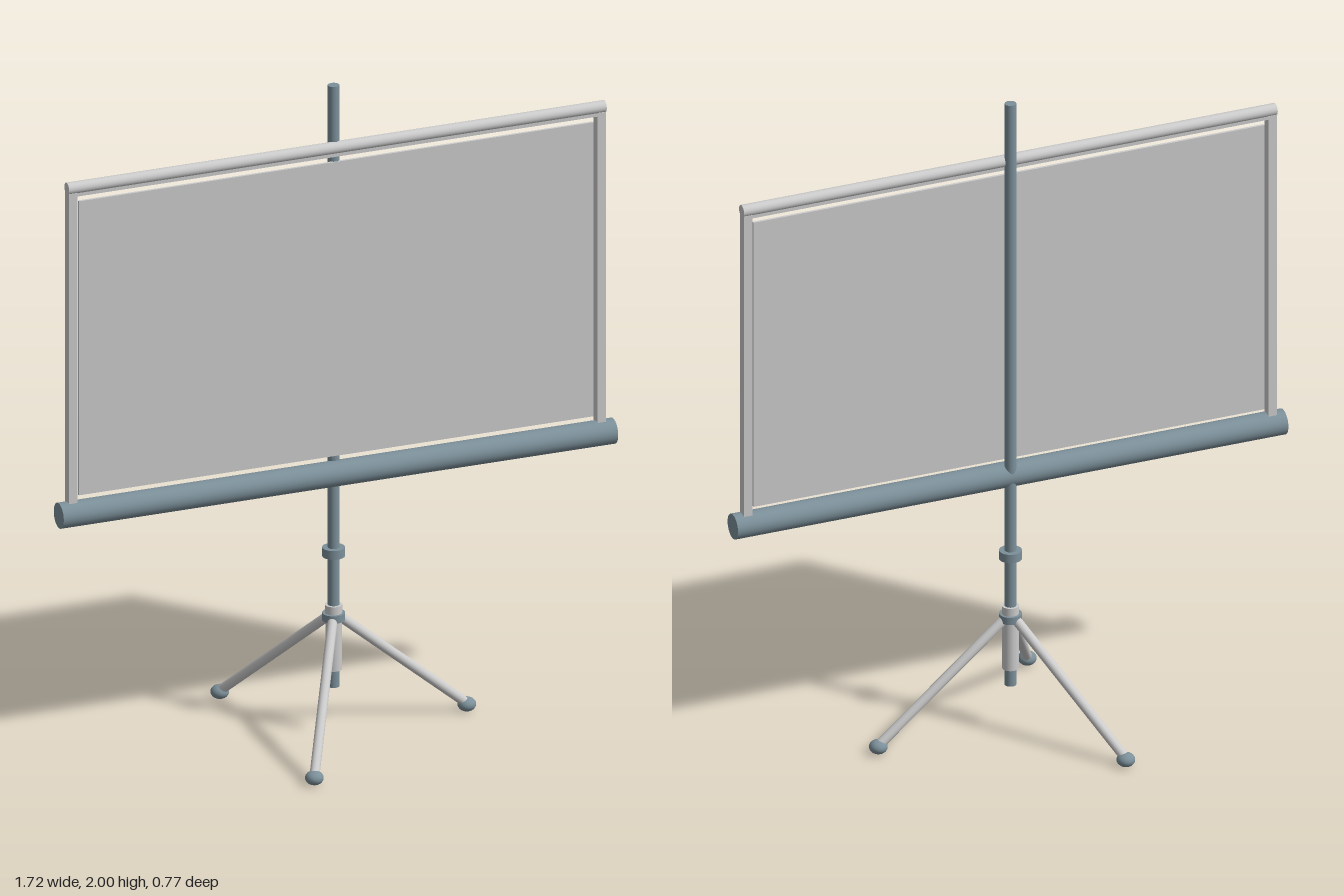
import * as THREE from 'three';

const light = new THREE.MeshStandardMaterial({ color: 0xcccccc });
const slate = new THREE.MeshStandardMaterial({ color: 0x7c909a });

export function createModel() {
  const model = new THREE.Group();

  const add = (name, geometry, material, x = 0, y = 0, z = 0) => {
    const mesh = new THREE.Mesh(geometry, material);
    mesh.name = name;
    mesh.position.set(x, y, z);
    model.add(mesh);
    return mesh;
  };

  // Upright cylinder between two heights, on the pole axis
  const upright = (name, radius, y0, y1, material) =>
    add(name, new THREE.CylinderGeometry(radius, radius, y1 - y0, 32), material, 0, (y0 + y1) / 2, 0);

  // Cylinder lying along x
  const crossTube = (name, radius, length, material, y, z) => {
    const geometry = new THREE.CylinderGeometry(radius, radius, length, 40).rotateZ(Math.PI / 2);
    return add(name, geometry, material, 0, y, z);
  };

  // Pole with its clamp collar, hub and sleeve
  upright('pole', 0.017, 0.14, 2, slate);
  upright('clampCollar', 0.033, 0.543, 0.57, slate);
  upright('hubTop', 0.025, 0.365, 0.393, light);
  upright('hubRing', 0.033, 0.345, 0.368, slate);
  upright('sleeve', 0.024, 0.193, 0.35, light);

  // Three splayed legs with rounded feet
  const footRadius = 0.413;
  for (let i = 0; i < 3; i++) {
    const angle = (i * Math.PI * 2) / 3;
    const out = new THREE.Vector3(Math.cos(angle), 0, Math.sin(angle));
    const top = out.clone().multiplyScalar(0.02).setY(0.352);
    const foot = out.clone().multiplyScalar(footRadius).setY(0.024);
    const leg = new THREE.TubeGeometry(new THREE.LineCurve3(top, foot), 1, 0.0145, 20);
    add('leg' + (i + 1), leg, light);
    const pad = new THREE.SphereGeometry(0.027, 24, 16).scale(1, 0.021 / 0.027, 1);
    add('foot' + (i + 1), pad, slate, foot.x, 0.021, foot.z);
  }

  // Roller case and top bar
  crossTube('rollerCase', 0.038, 1.72, slate, 0.805, 0.018);
  crossTube('topBar', 0.018, 1.668, light, 1.812, 0.015);

  // Frame: side bars and a thin top rail under the top bar
  for (const side of [-1, 1]) {
    add(side > 0 ? 'leftBar' : 'rightBar', new THREE.BoxGeometry(0.026, 0.98, 0.03), light, side * 0.82, 1.31, 0.015);
  }
  add('topRail', new THREE.BoxGeometry(1.62, 0.018, 0.024), light, 0, 1.797, 0.015);

  // Screen panel, set just inside the frame
  add('screen', new THREE.BoxGeometry(1.596, 0.91, 0.008), light, 0, 1.314, 0.015);

  return model;
}
